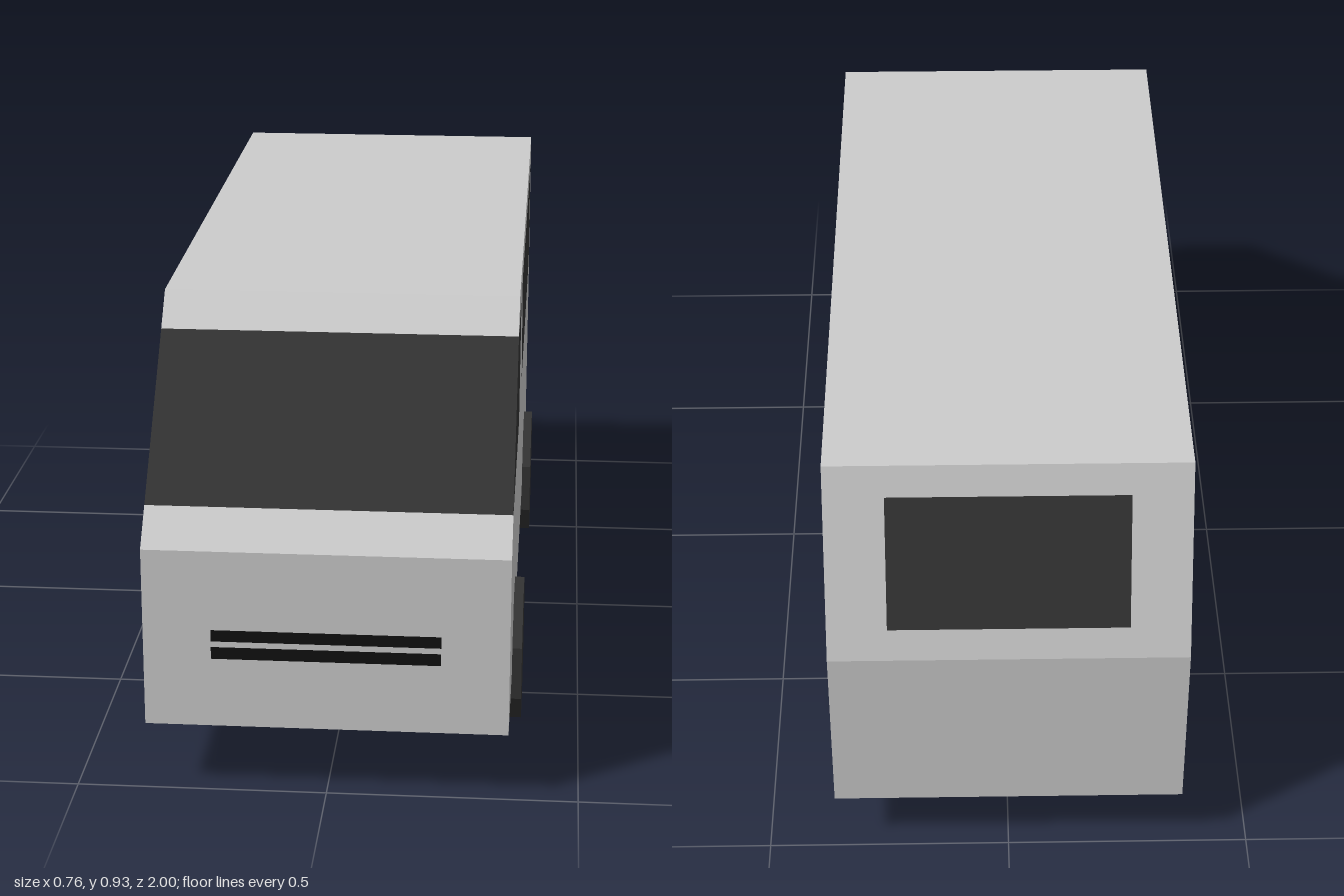
import * as THREE from 'three';

const W = 0.36; // half width of the body
const paint = new THREE.MeshStandardMaterial({ color: 0xcccccc, side: THREE.DoubleSide });
const dark = new THREE.MeshStandardMaterial({ color: 0x333333, side: THREE.DoubleSide });
const black = new THREE.MeshStandardMaterial({ color: 0x111111, side: THREE.DoubleSide });

const toPath = (pts) => pts.map(([u, v]) => new THREE.Vector2(u, v));
const rect = (w, v0, v1) => [[-w, v0], [w, v0], [w, v1], [-w, v1]];

// Flat sheet with optional holes, placed by an origin and its two in-plane axes
function sheet(name, outline, holes, origin, U, V, material) {
  const shape = new THREE.Shape(toPath(outline));
  for (const h of holes) shape.holes.push(new THREE.Path(toPath(h)));
  const geometry = new THREE.ShapeGeometry(shape);
  const N = new THREE.Vector3().crossVectors(U, V);
  geometry.applyMatrix4(new THREE.Matrix4().makeBasis(U, V, N).setPosition(origin));
  const mesh = new THREE.Mesh(geometry, material);
  mesh.name = name;
  return mesh;
}

export function createModel() {
  const van = new THREE.Group();
  van.name = 'van';

  // Side profile as [z, y], from the front lower edge over the roof to the back
  const profile = [[1, 0.14], [1, 0.51], [0.615, 0.925], [-0.875, 0.925], [-1, 0.53], [-1, 0.14]];

  // Panel across the full width on profile edge i; inserts are [name, halfWidth, from, to, material]
  function crossPanel(name, i, inserts = []) {
    const [[z0, y0], [z1, y1]] = [profile[i], profile[i + 1]];
    const V = new THREE.Vector3(0, y1 - y0, z1 - z0);
    const length = V.length();
    V.normalize();
    const place = (n, outline, holes, mat) => van.add(
      sheet(n, outline, holes, new THREE.Vector3(0, y0, z0), new THREE.Vector3(1, 0, 0), V, mat));
    const cuts = inserts.map(([, w, a, b]) => rect(w, a * length, b * length));
    if (inserts.length && inserts[0][1] === W) {
      // insert reaches both edges, so leave a strip on either side of it
      place(name + 'Lower', rect(W, 0, inserts[0][2] * length), [], paint);
      place(name + 'Upper', rect(W, inserts[0][3] * length, length), [], paint);
    } else {
      place(name, rect(W, 0, length), cuts, paint);
    }
    inserts.forEach(([n, , , , mat], k) => place(n, cuts[k], [], mat));
  }
  crossPanel('frontPanel', 0, [
    ['lowerGrilleBar', 0.226, 0.389, 0.457, black],
    ['upperGrilleBar', 0.226, 0.489, 0.554, black],
  ]);
  crossPanel('windscreenFrame', 1, [['windscreen', W, 0.165, 0.843, dark]]);
  crossPanel('roof', 2);
  crossPanel('rearWindowFrame', 3, [['rearWindow', 0.24, 0.16, 0.84, dark]]);
  crossPanel('backPanel', 4);

  // Side walls with a cab window open to the windscreen edge and a long rear window
  const cabWindow = [[0.936, 0.579], [0.674, 0.861], [0.39, 0.861], [0.39, 0.584]];
  const sideWindow = [[0.26, 0.862], [-0.81, 0.862], [-0.895, 0.592], [0.085, 0.585]];
  const wall = [...profile.slice(0, 2), ...cabWindow.slice().sort(() => 0)];
  wall.splice(2, 4, cabWindow[0], cabWindow[3], cabWindow[2], cabWindow[1]);
  wall.push(...profile.slice(2));
  for (const [side, s] of [['left', 1], ['right', -1]]) {
    const flip = (pts) => pts.map(([z, y]) => [-s * z, y]);
    const add = (part, outline, holes, mat) => van.add(
      sheet(side + part, flip(outline), holes.map(flip), new THREE.Vector3(s * W, 0, 0),
        new THREE.Vector3(0, 0, -s), new THREE.Vector3(0, 1, 0), mat));
    add('Wall', wall, [sideWindow], paint);
    add('CabWindow', cabWindow, [], dark);
    add('SideWindow', sideWindow, [], dark);
  }

  // Octagonal wheels resting on a flat
  const apothem = 0.1375;
  const tyre = new THREE.CylinderGeometry(1, 1, 0.135, 8).rotateY(Math.PI / 8).rotateZ(Math.PI / 2);
  const radius = apothem / Math.cos(Math.PI / 8);
  tyre.scale(1, radius, radius);
  const rubber = new THREE.MeshStandardMaterial({ color: 0x333333, flatShading: true });
  for (const [end, z] of [['front', 0.567], ['rear', -0.538]]) {
    for (const [side, s] of [['Left', 1], ['Right', -1]]) {
      const wheel = new THREE.Mesh(tyre, rubber);
      wheel.name = end + side + 'Wheel';
      wheel.position.set(s * 0.3125, apothem, z);
      van.add(wheel);
    }
  }
  return van;
}
